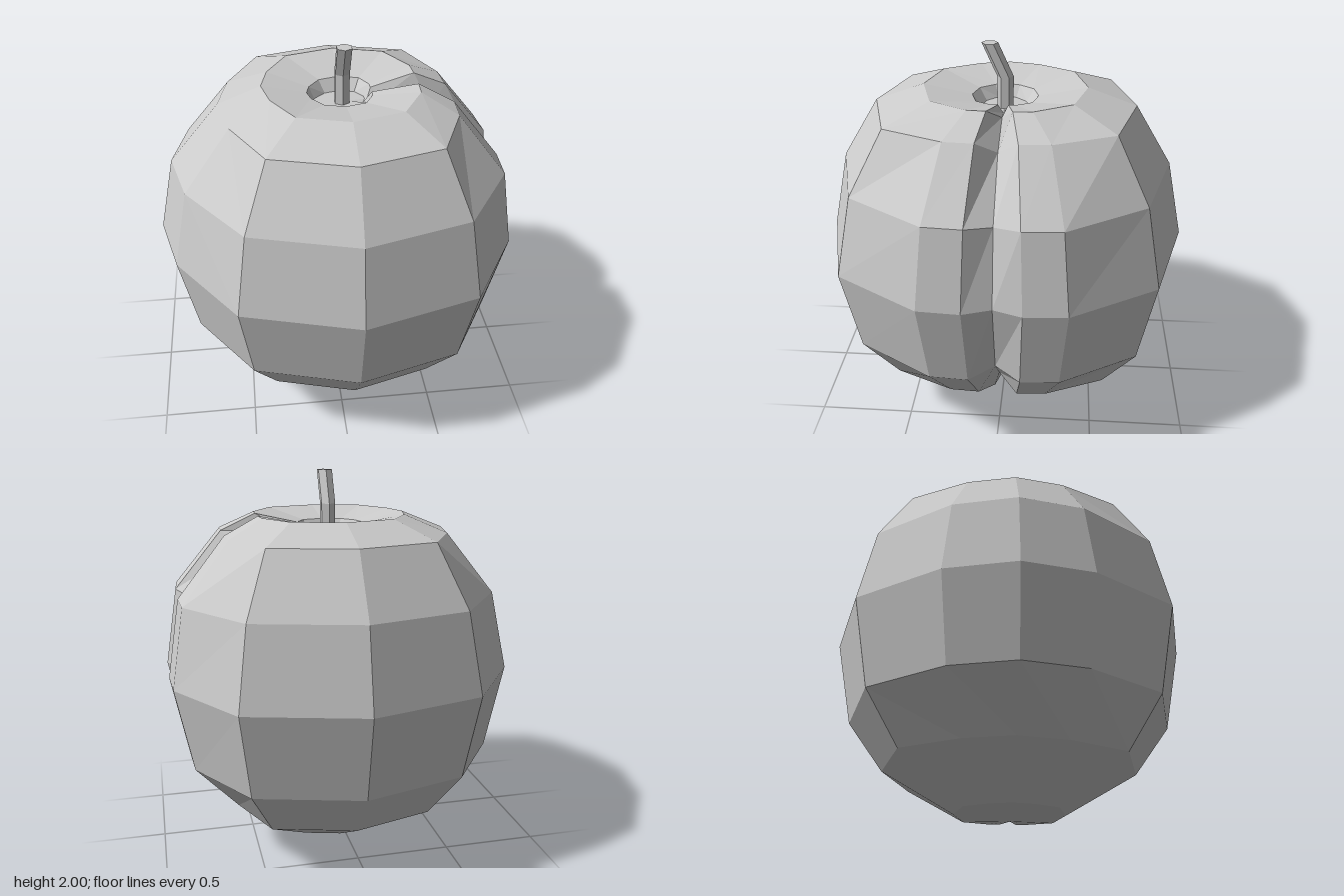
import * as THREE from 'three';

const AXIS = 0.05; // x of the fruit's core

// Surface through closed rings of equal length, listed bottom to top, flat shaded
function loft(rings) {
  const pos = [], n = rings[0].length;
  const tri = (...pts) => pts.forEach((p) => pos.push(...p));
  for (let i = 0; i < rings.length - 1; i++) {
    for (let j = 0; j < n; j++) {
      const k = (j + 1) % n;
      const a = rings[i][j], b = rings[i][k], c = rings[i + 1][k], d = rings[i + 1][j];
      // Mirror the diagonal on the back half
      if (j < n / 2) { tri(a, b, c); tri(a, c, d); } else { tri(a, b, d); tri(b, c, d); }
    }
  }
  const g = new THREE.BufferGeometry();
  g.setAttribute('position', new THREE.Float32BufferAttribute(pos, 3));
  g.computeVertexNormals();
  return g;
}

// One ring of the fruit: height, left/right/depth reach, and the crease point
function fruitRing([y, xMin, xMax, z, creaseX, creaseY]) {
  const L = xMin - AXIS, R = xMax - AXIS;
  const half = [
    [0, z], [0.62 * z, 0.83 * z], [0.985 * R, 0.375 * z], [R, 0.15 * z],
  ];
  const back = [[0.91 * L, 0.38 * z], [-0.62 * z, 0.83 * z]];
  const plan = [
    ...half, [creaseX - AXIS, 0],
    ...half.slice().reverse().map(([x, d]) => [x, -d]),
    ...back.slice().reverse().map(([x, d]) => [x, -d]),
    [L, 0], ...back,
  ];
  return plan.map(([x, d], i) => [AXIS + x, i === 4 ? creaseY : y, d]);
}

function point(x, y) {
  return Array.from({ length: 14 }, () => [x, y, 0]);
}

export function createModel() {
  const group = new THREE.Group();
  const material = new THREE.MeshStandardMaterial({ color: 0xcccccc, flatShading: true });

  // Fruit body with a crease on its left side and a hollow at the top
  const profile = [
    // y, xMin, xMax, zMax, creaseX, creaseY
    [0.04, -0.22, 0.28, 0.29, 0.18, 0.07],
    [0.26, -0.585, 0.61, 0.67, 0.49, 0.3],
    [0.52, -0.845, 0.835, 0.86, 0.74, 0.54],
    [0.97, -0.935, 0.925, 0.95, 0.875, 0.97],
    [1.38, -0.845, 0.86, 0.86, 0.79, 1.36],
    [1.69, -0.585, 0.61, 0.67, 0.52, 1.61],
    [1.78, -0.36, 0.43, 0.42, 0.27, 1.69],
    [1.73, -0.13, 0.2, 0.17, 0.18, 1.68],
    [1.67, -0.1, 0.17, 0.125, 0.16, 1.66],
  ];
  const body = new THREE.Mesh(
    loft([point(0.02, 0), ...profile.map(fruitRing), point(AXIS, 1.67)]), material);
  body.name = 'fruitBody';
  group.add(body);

  // Bent six-sided stem
  const hexagon = (y, z, r) => Array.from({ length: 6 }, (_, i) => {
    const a = (i * Math.PI) / 3;
    return [AXIS + r * Math.sin(a), y, z + r * Math.cos(a)];
  });
  const stem = new THREE.Mesh(
    loft([hexagon(1.64, 0, 0.042), hexagon(1.83, 0, 0.042),
      hexagon(2, 0.078, 0.042), hexagon(2, 0.078, 0)]), material);
  stem.name = 'stem';
  group.add(stem);

  return group;
}
